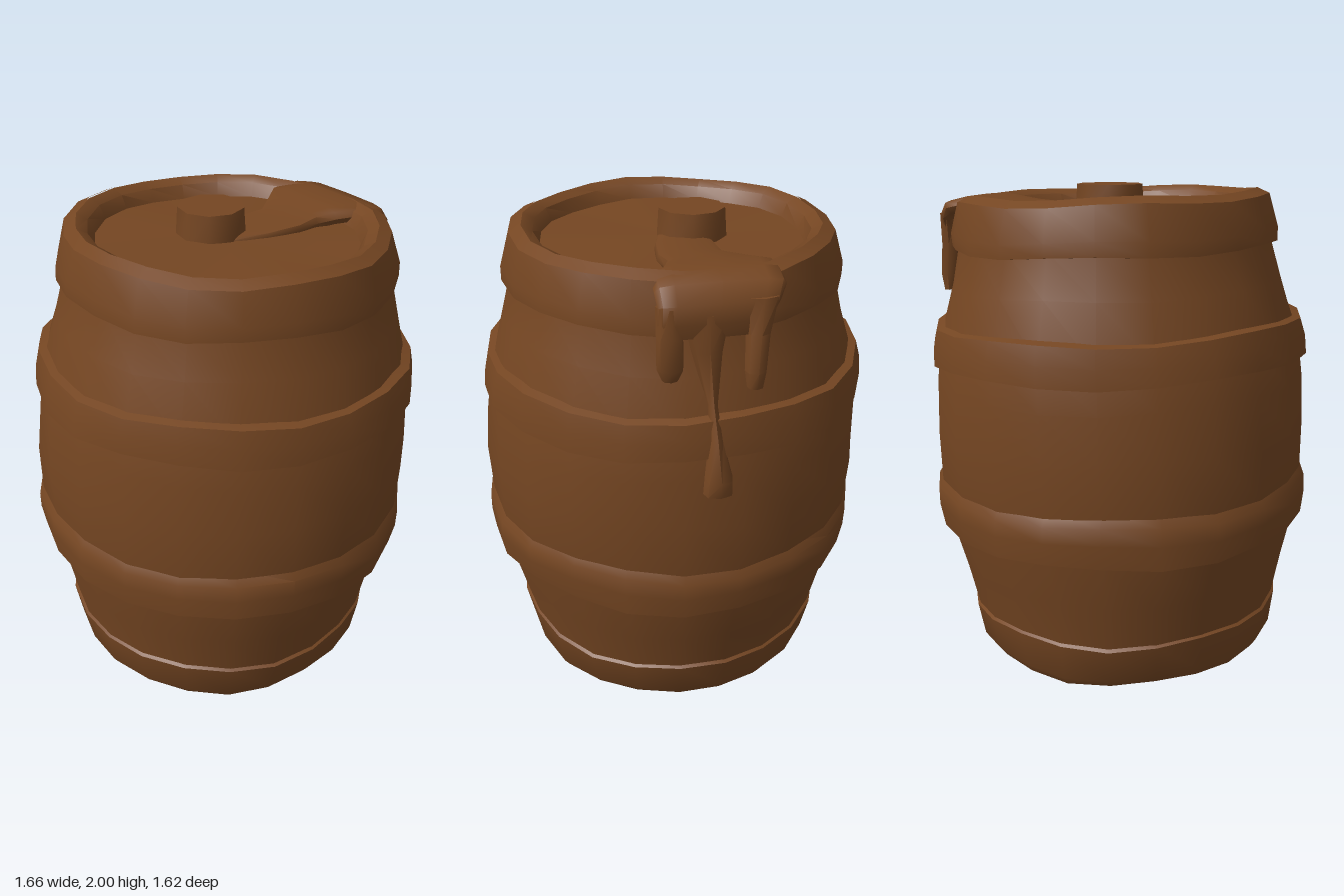
import * as THREE from 'three';
import { toCreasedNormals } from 'three/addons/utils/BufferGeometryUtils.js';

const wood = new THREE.MeshStandardMaterial({ color: 0x754622 });
wood.name = 'brown wood';

function addPart(parent, name, geometry, crease = 0.7) {
  const mesh = new THREE.Mesh(toCreasedNormals(geometry, crease), wood);
  mesh.name = name;
  parent.add(mesh);
  return mesh;
}

// Hand-hewn lathe: profile [radius, y] with gentle periodic unevenness
function hewnLathe(profile, wobble = 1, segments = 22) {
  const geo = new THREE.LatheGeometry(profile.map(p => new THREE.Vector2(...p)), segments);
  const pos = geo.attributes.position;
  for (let i = 0; i < pos.count; i++) {
    const x = pos.getX(i), y = pos.getY(i), z = pos.getZ(i);
    const a = Math.atan2(z, x);
    const s = 1 + wobble * (0.006 * Math.sin(3 * a + 4 * y) + 0.005 * Math.sin(7 * a + 9 * y));
    const r = Math.hypot(x, z);
    pos.setXYZ(i, x * s, y + wobble * r * 0.01 * Math.sin(5 * a + 6 * y), z * s);
  }
  return geo;
}

// Closed skin over a row of rings, each turning right-handed about the path
function loft(rings) {
  const n = rings[0].length, last = (rings.length - 1) * n;
  const verts = rings.flat(), index = [];
  for (let i = 0; i < rings.length - 1; i++) {
    for (let j = 0; j < n; j++) {
      const a = i * n + j, b = i * n + (j + 1) % n;
      index.push(a, b, b + n, a, b + n, a + n);
    }
  }
  for (let j = 1; j < n - 1; j++) {
    index.push(0, j + 1, j, last, last + j, last + j + 1);
  }
  const geo = new THREE.BufferGeometry();
  geo.setAttribute('position', new THREE.Float32BufferAttribute(verts.flat(), 3));
  geo.setIndex(index);
  return geo;
}

// Hanging drip; stations are [x, y, z, half depth, half width] from the top down
function drip(stations, n = 7) {
  return loft(stations.map(([x, y, z, d, w]) => Array.from({ length: n }, (_, j) => {
    const a = (j / n) * Math.PI * 2;
    return [x + d * Math.cos(a), y, z + w * Math.sin(a)];
  })));
}

// Flat spill; stations are [x, y, tilt of upper side in degrees, z from, z to, half thickness]
function spill(stations, n = 12) {
  const soft = v => Math.sign(v) * Math.sqrt(Math.abs(v));
  return loft(stations.map(([x, y, deg, z0, z1, t]) => Array.from({ length: n }, (_, j) => {
    const a = (j / n) * Math.PI * 2, tilt = THREE.MathUtils.degToRad(deg);
    const up = t * soft(Math.cos(a));
    const side = (z0 + z1) / 2 + (z1 - z0) / 2 * soft(Math.sin(a));
    return [x + up * Math.cos(tilt), y + up * Math.sin(tilt), side];
  })));
}

export function createModel() {
  const model = new THREE.Group();
  model.name = 'barrel';

  // Cask leans slightly to its left
  const cask = new THREE.Group();
  cask.name = 'cask';
  cask.position.x = -0.04;
  cask.rotation.z = -0.03;
  model.add(cask);

  // Staves, bottom, rim and sunken lid in one profile
  addPart(cask, 'body', hewnLathe([
    [0, 0.025], [0.61, 0.025], [0.65, 0.06], [0.675, 0.2], [0.72, 0.4], [0.765, 0.6],
    [0.79, 0.8], [0.797, 1.0], [0.785, 1.2], [0.765, 1.38], [0.7, 1.6], [0.655, 1.78],
    [0.635, 1.94], [0.6, 1.962], [0.555, 1.94], [0.53, 1.885], [0, 1.89],
  ]));

  // Worn hoops with a sharp lower edge and a softer upper one
  const hoops = [
    ['bottomHoop', [[0.6, 0.03], [0.635, 0.025], [0.66, 0.06], [0.69, 0.21], [0.66, 0.235]]],
    ['lowerHoop', [[0.74, 0.59], [0.797, 0.595], [0.81, 0.69], [0.808, 0.76], [0.77, 0.82]]],
    ['upperHoop', [[0.74, 1.295], [0.797, 1.3], [0.792, 1.38], [0.775, 1.45], [0.72, 1.465]]],
    ['topHoop', [[0.64, 1.75], [0.688, 1.755], [0.688, 1.81], [0.65, 1.94], [0.6, 1.965]]],
  ];
  for (const [name, profile] of hoops) addPart(cask, name, hewnLathe(profile, 1.2));

  // Bung in the lid
  const bung = addPart(model, 'bung', new THREE.CylinderGeometry(0.135, 0.145, 0.15, 9));
  bung.position.set(0, 1.925, -0.085);

  // Spill running from the bung over the rim
  addPart(model, 'spill', spill([
    [-0.02, 1.87, 90, -0.11, 0.05, 0.03],
    [0.15, 1.88, 90, -0.14, 0.10, 0.03],
    [0.30, 1.885, 90, -0.14, 0.12, 0.03],
    [0.40, 1.89, 90, -0.22, 0.11, 0.035],
    [0.48, 1.90, 90, -0.285, 0.14, 0.035],
    [0.60, 1.91, 85, -0.275, 0.20, 0.035],
    [0.67, 1.895, 60, -0.27, 0.205, 0.035],
    [0.705, 1.85, 20, -0.24, 0.2, 0.035],
    [0.705, 1.79, 0, -0.21, 0.2, 0.032],
    [0.695, 1.735, 0, -0.19, 0.19, 0.03],
  ]), 0.9);

  // Drips hanging from the spill
  addPart(model, 'frontDrip', drip([
    [0.69, 1.85, 0.155, 0.045, 0.05], [0.70, 1.74, 0.155, 0.04, 0.05],
    [0.705, 1.62, 0.155, 0.04, 0.05], [0.70, 1.575, 0.155, 0.025, 0.03],
  ]), 0.9);
  addPart(model, 'backDrip', drip([
    [0.70, 1.87, -0.17, 0.045, 0.07], [0.715, 1.74, -0.16, 0.045, 0.045],
    [0.735, 1.6, -0.15, 0.04, 0.04], [0.735, 1.535, -0.15, 0.028, 0.03],
  ]), 0.9);
  addPart(model, 'longDrip', drip([
    [0.69, 1.82, 0.02, 0.05, 0.09], [0.70, 1.68, 0.02, 0.045, 0.06],
    [0.72, 1.48, 0.005, 0.035, 0.02], [0.765, 1.36, 0, 0.04, 0.025],
    [0.79, 1.2, -0.01, 0.045, 0.055], [0.785, 1.135, -0.01, 0.04, 0.058],
  ]), 0.9);

  return model;
}
